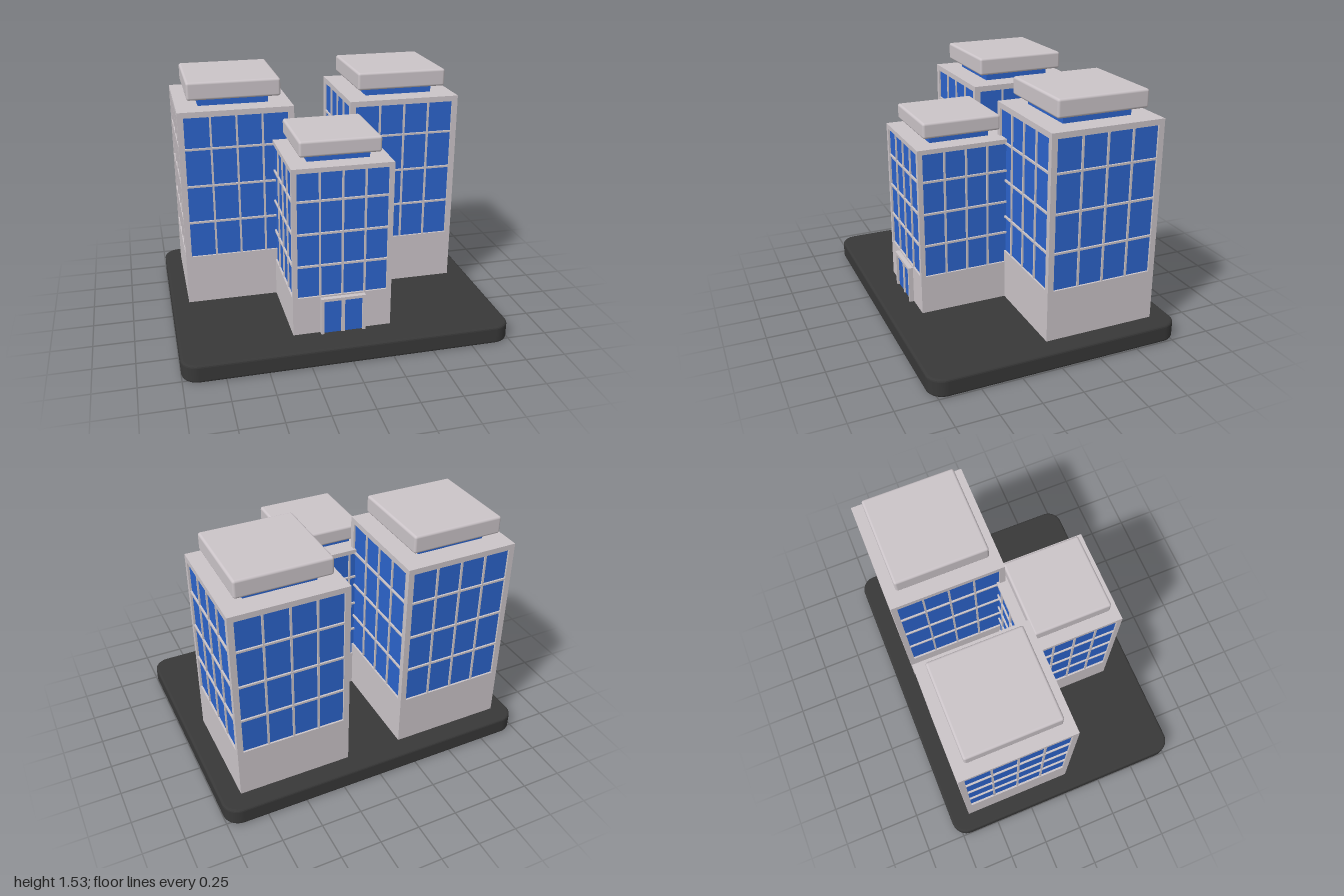
import * as THREE from 'three';
import { RoundedBoxGeometry } from 'three/addons/geometries/RoundedBoxGeometry.js';

const wall = new THREE.MeshStandardMaterial({ color: 0xcbc4c8 });
const glass = new THREE.MeshStandardMaterial({ color: 0x2c64cc });
const dark = new THREE.MeshStandardMaterial({ color: 0x383838 });

// Box given by its min and max on each axis; r > 0 rounds the edges
function block(parent, name, mat, [x0, x1], [y0, y1], [z0, z1], r = 0) {
  const size = [x1 - x0, y1 - y0, z1 - z0];
  const geo = r ? new RoundedBoxGeometry(...size, 3, r) : new THREE.BoxGeometry(...size);
  const mesh = new THREE.Mesh(geo, mat);
  mesh.name = name;
  mesh.position.set((x0 + x1) / 2, (y0 + y1) / 2, (z0 + z1) / 2);
  parent.add(mesh);
}

// Square slab centred on the tower's axis
function slab(parent, name, mat, w, d, y0, y1, r = 0) {
  block(parent, name, mat, [-w / 2, w / 2], [y0, y1], [-d / 2, d / 2], r);
}

function makeTower(name, o) {
  const g = new THREE.Group();
  g.name = name;
  const { w, d, post, sill, head, top, inset = 0.012 } = o;
  slab(g, 'plinth', wall, w, d, 0.1, sill);
  slab(g, 'windowGlass', glass, w - 2 * inset, d - 2 * inset, sill, head);
  slab(g, 'roofSlab', wall, w, d, head, top);

  // Corner posts
  for (const sx of [-1, 1]) for (const sz of [-1, 1]) {
    const x = sx * (w - post) / 2, z = sz * (d - post) / 2, h = post / 2;
    block(g, 'cornerPost', wall, [x - h, x + h], [sill, head], [z - h, z + h]);
  }

  // Window grid: each vertical bar runs through the tower and shows on both faces
  const t = 0.006, proud = 0.003;
  for (let i = 1; i < 4; i++) {
    const x = (i / 4 - 0.5) * (w - 2 * post), z = (i / 4 - 0.5) * (d - 2 * post);
    block(g, 'mullion', wall, [x - t, x + t], [sill, head], [-d / 2 + proud, d / 2 - proud]);
    block(g, 'mullion', wall, [-w / 2 + proud, w / 2 - proud], [sill, head], [z - t, z + t]);
  }
  for (const y of o.bars) slab(g, 'floorBar', wall, w - 0.002, d - 0.002, y - t, y + t);

  // Rooftop: glazed neck under an overhanging rounded cap
  slab(g, 'roofNeck', glass, o.neck, o.neck, top - 0.01, o.capY[0] + 0.01);
  slab(g, 'roofCap', wall, o.cap, o.cap, ...o.capY, 0.015);
  g.position.set(o.x, 0, o.z);
  return g;
}

// Rounded ground plate with softened rims
function makeBase() {
  const b = 0.015, hx = 1 - b, hz = 0.79 - b, r = 0.1 - b;
  const s = new THREE.Shape();
  s.absarc(hx - r, hz - r, r, 0, Math.PI / 2);
  s.absarc(-hx + r, hz - r, r, Math.PI / 2, Math.PI);
  s.absarc(-hx + r, -hz + r, r, Math.PI, Math.PI * 1.5);
  s.absarc(hx - r, -hz + r, r, Math.PI * 1.5, Math.PI * 2);
  s.closePath();
  const geo = new THREE.ExtrudeGeometry(s, {
    depth: 0.112 - 2 * b, bevelSize: b, bevelThickness: b, bevelSegments: 3, curveSegments: 10,
  });
  geo.rotateX(-Math.PI / 2).translate(0, b, 0);
  const mesh = new THREE.Mesh(geo, dark);
  mesh.name = 'base';
  return mesh;
}

// Entrance with a frame around two glass doors
function makeEntrance() {
  const g = new THREE.Group();
  g.name = 'entrance';
  const z = [0.57, 0.62], y0 = 0.105;
  for (const s of [-1, 1]) {
    const x = s * 0.1275;
    block(g, 'doorJamb', wall, [x - 0.009, x + 0.009], [y0, 0.346], z);
  }
  block(g, 'doorLintel', wall, [-0.1365, 0.1365], [0.328, 0.346], z);
  block(g, 'doorGlass', glass, [-0.12, 0.12], [y0, 0.33], [0.57, 0.605]);
  block(g, 'doorMullion', wall, [-0.011, 0.011], [y0, 0.33], [0.57, 0.612]);
  g.position.x = -0.02;
  return g;
}

export function createModel() {
  const model = new THREE.Group();
  model.name = 'officeBuildings';
  model.add(makeBase());

  // Two tall rear towers
  const tall = {
    w: 0.705, d: 0.705, z: -0.3125, post: 0.036, sill: 0.43, head: 1.335, top: 1.37,
    bars: [0.66, 0.898, 1.136], neck: 0.433, cap: 0.57, capY: [1.42, 1.53],
  };
  model.add(makeTower('rightTower', { ...tall, x: -0.5395 }));
  model.add(makeTower('leftTower', { ...tall, x: 0.52 }));

  // Shorter tower in front
  model.add(makeTower('frontTower', {
    w: 0.604, d: 0.604, x: -0.02, z: 0.289, post: 0.03, sill: 0.355, head: 1.134, top: 1.162,
    bars: [0.555, 0.759, 0.962], neck: 0.374, cap: 0.486, capY: [1.205, 1.3],
  }));
  model.add(makeEntrance());
  return model;
}
